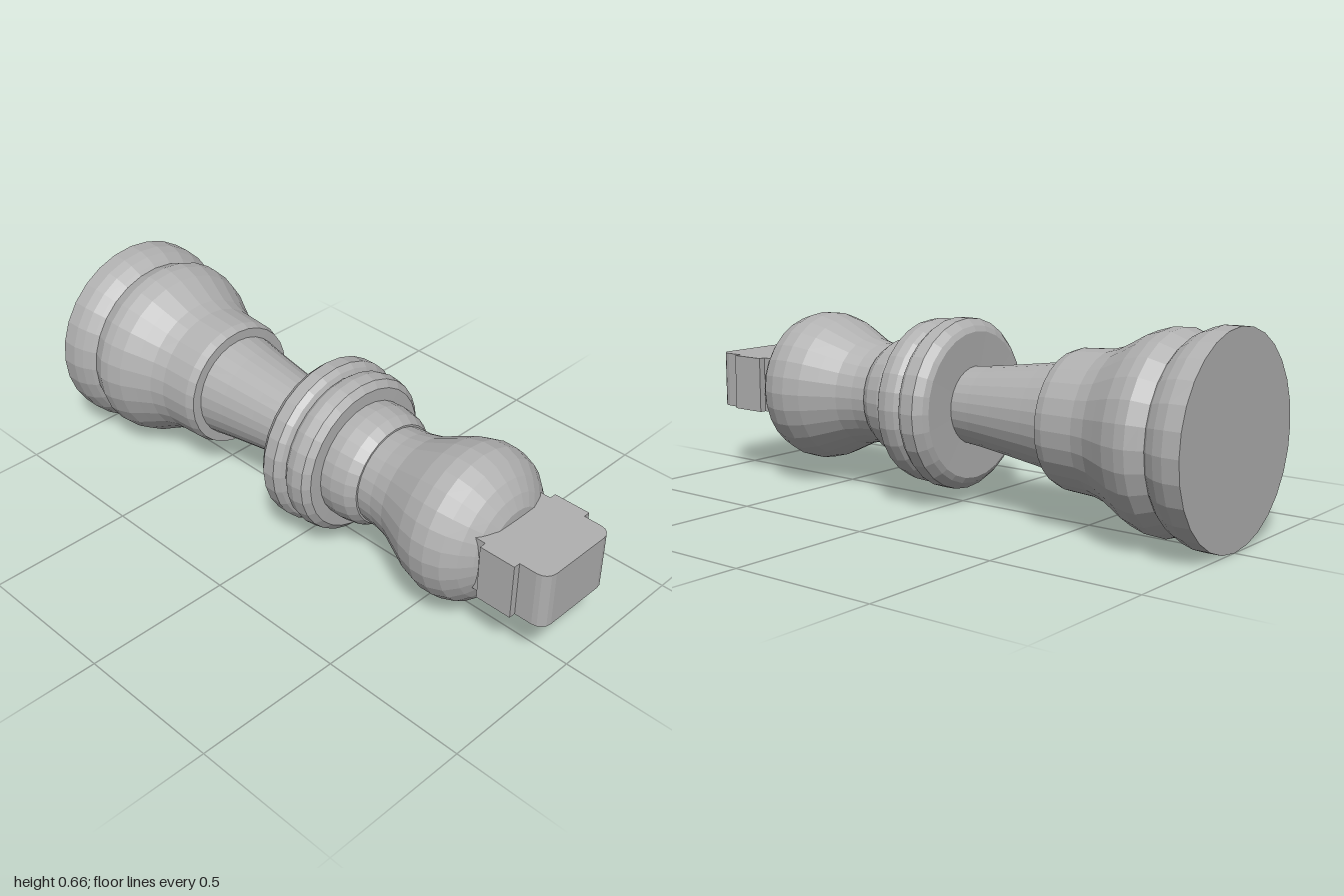
import * as THREE from 'three';

const AXIS_Y = 0.329;
const SIDES = 28;

export function createModel() {
  const model = new THREE.Group();
  const grey = new THREE.MeshStandardMaterial({ color: 0xb0b0b0, flatShading: true });
  grey.name = 'plain grey';

  // Turned part lying along z; the profile lists [radius, z] from back to front
  function turned(name, profile) {
    const points = profile.map(([r, z]) => new THREE.Vector2(r, z));
    const geometry = new THREE.LatheGeometry(points, SIDES);
    geometry.rotateX(Math.PI / 2);
    const mesh = new THREE.Mesh(geometry, grey);
    mesh.name = name;
    mesh.position.y = AXIS_Y;
    model.add(mesh);
  }

  // Closed foot disc with a rounded front edge
  turned('base', [
    [0, -1], [0.328, -1], [0.328, -0.945], [0.318, -0.91], [0.302, -0.88], [0.288, -0.865], [0, -0.865],
  ]);

  // Bulging lower body that ends in a step
  turned('lowerBody', [
    [0, -0.875], [0.288, -0.875], [0.298, -0.85], [0.312, -0.815], [0.31, -0.78], [0.295, -0.73],
    [0.268, -0.68], [0.242, -0.63], [0.228, -0.58], [0.222, -0.47], [0.212, -0.44], [0, -0.435],
  ]);

  // Tapered stem
  turned('stem', [
    [0, -0.46], [0.183, -0.46], [0.165, -0.35], [0.147, -0.22], [0.134, -0.12], [0.126, -0.04], [0, -0.04],
  ]);

  // Two stacked collar rings
  turned('rearCollar', [
    [0, -0.05], [0.24, -0.055], [0.258, -0.045], [0.28, -0.02], [0.281, 0.025], [0.268, 0.045], [0.25, 0.055], [0, 0.055],
  ]);
  turned('frontCollar', [
    [0, 0.05], [0.25, 0.05], [0.266, 0.07], [0.272, 0.1], [0.265, 0.135], [0.243, 0.155], [0, 0.16],
  ]);

  // Narrow neck ring
  turned('neckRing', [
    [0, 0.15], [0.2, 0.15], [0.202, 0.2], [0.193, 0.25], [0.172, 0.283], [0, 0.285],
  ]);

  // Flared bulb of the head
  turned('head', [
    [0, 0.27], [0.165, 0.27], [0.17, 0.34], [0.184, 0.4], [0.212, 0.46], [0.24, 0.52], [0.256, 0.58],
    [0.255, 0.63], [0.238, 0.68], [0.203, 0.72], [0.165, 0.75], [0.125, 0.77], [0, 0.775],
  ]);

  // Blocky cross-shaped finial, drawn in x and z and extruded through y
  const shape = new THREE.Shape();
  shape.moveTo(-0.1, 0.72);
  shape.lineTo(0.1, 0.72);
  shape.lineTo(0.15, 0.725);
  shape.lineTo(0.15, 0.775);
  shape.lineTo(0.173, 0.775);
  shape.lineTo(0.173, 0.9);
  shape.lineTo(0.15, 0.9);
  shape.lineTo(0.15, 0.96);
  shape.quadraticCurveTo(0.147, 0.997, 0.11, 1);
  shape.lineTo(-0.11, 1);
  shape.quadraticCurveTo(-0.147, 0.997, -0.15, 0.96);
  shape.lineTo(-0.15, 0.9);
  shape.lineTo(-0.173, 0.9);
  shape.lineTo(-0.173, 0.775);
  shape.lineTo(-0.15, 0.775);
  shape.lineTo(-0.15, 0.725);
  shape.closePath();
  const finialGeometry = new THREE.ExtrudeGeometry(shape, { depth: 0.19, bevelEnabled: false, curveSegments: 4 });
  finialGeometry.rotateX(Math.PI / 2);
  const finial = new THREE.Mesh(finialGeometry, grey);
  finial.name = 'finial';
  finial.position.y = 0.425;
  model.add(finial);

  return model;
}
